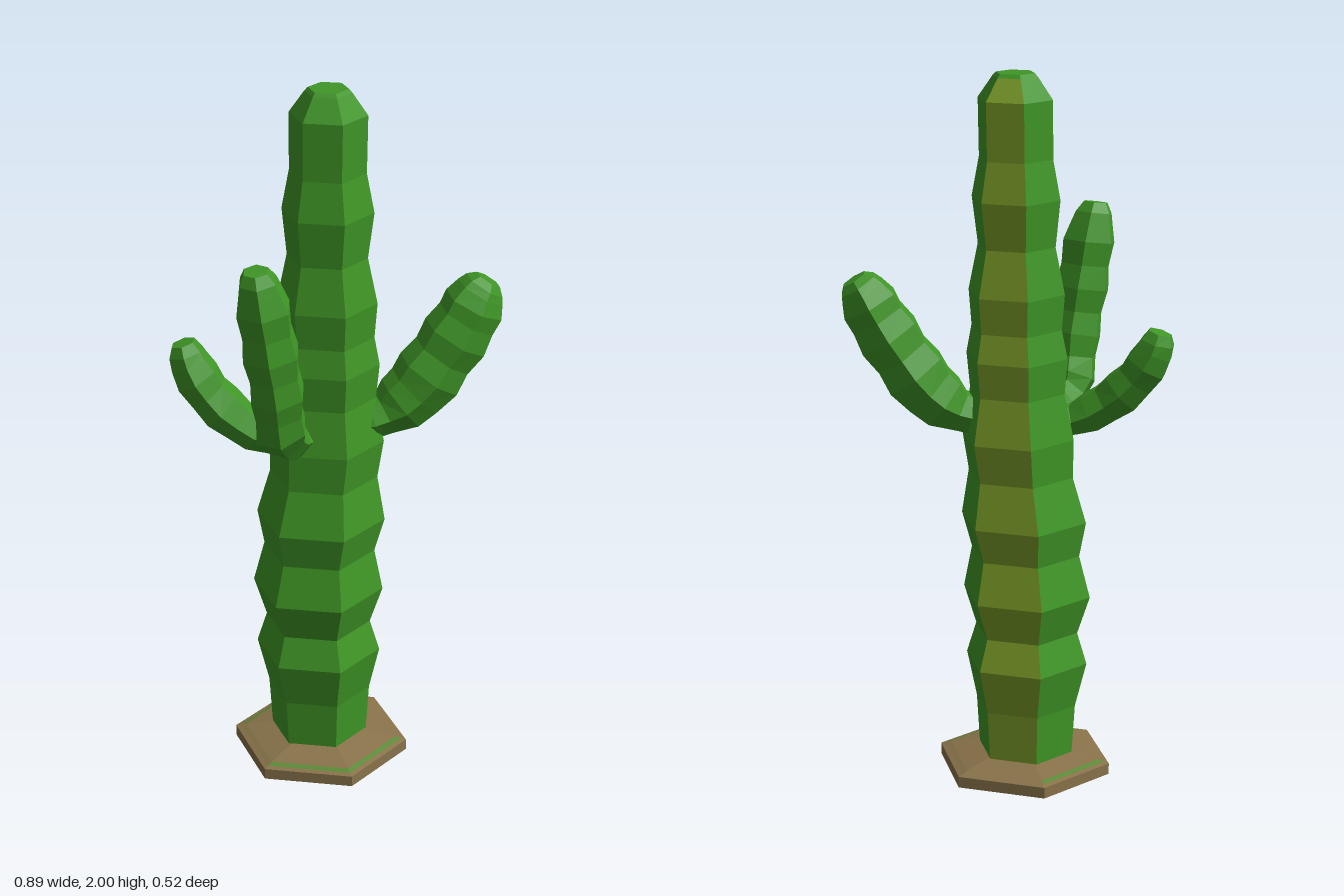
import * as THREE from 'three';

const green = new THREE.MeshStandardMaterial({ color: 0x3f9626 });
green.name = 'cactusGreen';
const olive = new THREE.MeshStandardMaterial({ color: 0x7a9c28 });
olive.name = 'oliveGreen';
const brown = new THREE.MeshStandardMaterial({ color: 0x88724a });
brown.name = 'soilBrown';
const moss = new THREE.MeshStandardMaterial({ color: 0x5a8a36 });
moss.name = 'mossGreen';

const SIDES = 6;

// Faceted skin over hexagonal rings { centre, radius, side, other }.
// pick(ring, sector) chooses the material of each panel; ring -1 is the start cap.
function loft(name, rings, materials, pick = () => 0) {
  const faces = materials.map(() => []);
  const corners = rings.map(({ centre, radius, side, other }) =>
    Array.from({ length: SIDES }, (_, i) => {
      const a = (i / SIDES) * Math.PI * 2;
      return centre.clone()
        .addScaledVector(side, radius * Math.cos(a))
        .addScaledVector(other, radius * Math.sin(a));
    }));
  const last = rings.length - 1;
  for (let s = 0; s < SIDES; s++) {
    const n = (s + 1) % SIDES;
    for (let r = 0; r < last; r++) {
      const a = corners[r][s], b = corners[r][n], c = corners[r + 1][n], d = corners[r + 1][s];
      faces[pick(r, s)].push(a, b, c, a, c, d);
    }
    faces[pick(-1, s)].push(rings[0].centre, corners[0][n], corners[0][s]);
    faces[pick(last, s)].push(rings[last].centre, corners[last][s], corners[last][n]);
  }
  const geometry = new THREE.BufferGeometry().setFromPoints(faces.flat());
  let start = 0;
  faces.forEach((list, i) => {
    geometry.addGroup(start, list.length, i);
    start += list.length;
  });
  geometry.computeVertexNormals();
  const mesh = new THREE.Mesh(geometry, materials);
  mesh.name = name;
  return mesh;
}

// Level ring with corners pointing to the front and back
function levelRing(x, y, z, radius) {
  return {
    centre: new THREE.Vector3(x, y, z), radius,
    side: new THREE.Vector3(0, 0, 1), other: new THREE.Vector3(1, 0, 0),
  };
}

// Curved arm with bulging segments, swept along a path of [x, y, z, radius]
function arm(name, stations, segments) {
  const points = stations.map(([x, y, z]) => new THREE.Vector3(x, y, z));
  const curve = new THREE.CatmullRomCurve3(points);
  const out = points[points.length - 1].clone().sub(points[0]);
  const side = new THREE.Vector3(0, 1, 0).cross(out).normalize();
  const rings = [];
  for (let i = 0; i <= segments; i++) {
    const t = i / segments;
    const k = t * (stations.length - 1);
    const j = Math.min(Math.floor(k), stations.length - 2);
    const radius = THREE.MathUtils.lerp(stations[j][3], stations[j + 1][3], k - j);
    const bulge = i === segments ? 1 : i % 2 ? 1.06 : 0.95;
    const other = curve.getTangent(t).cross(side).normalize();
    rings.push({ centre: curve.getPoint(t), radius: radius * bulge, side, other });
  }
  return loft(name, rings, [green]);
}

export function createModel() {
  const group = new THREE.Group();
  group.name = 'cactus';

  // Soil mound: brown slab, mossy rim strips, green underside
  const soil = [[0, 0.253], [0.032, 0.253], [0.036, 0.238], [0.041, 0.222], [0.062, 0.12]]
    .map(([y, r]) => levelRing(-0.048, y, -0.008, r));
  group.add(loft('soilBase', soil, [brown, moss, green], (r, s) => {
    if (r === -1) return 2;
    return r === 2 && [0, 3, 5].includes(s) ? 1 : 0;
  }));

  // Trunk: ribbed hexagonal column with one olive back panel; [y, x, radius]
  const trunk = [
    [0.04, -0.05, 0.137], [0.2, -0.05, 0.147], [0.33, -0.052, 0.178], [0.42, -0.052, 0.15],
    [0.53, -0.052, 0.186], [0.65, -0.048, 0.158], [0.75, -0.043, 0.182], [0.88, -0.034, 0.152],
    [0.99, -0.026, 0.162], [1.12, -0.024, 0.137], [1.22, -0.023, 0.146], [1.3, -0.022, 0.13],
    [1.4, -0.022, 0.138], [1.53, -0.022, 0.111], [1.66, -0.02, 0.126], [1.77, -0.02, 0.105],
    [1.93, -0.018, 0.106], [1.99, -0.018, 0.064], [2.0, -0.018, 0.055],
  ].map(([y, x, r]) => levelRing(x, y, -0.015, r));
  group.add(loft('trunk', trunk, [green, olive],
    (r, s) => (s === 2 && r >= 0 && r < trunk.length - 2 ? 1 : 0)));

  // Thick arm on the left
  group.add(arm('leftArm', [
    [0.05, 1.04, 0.025, 0.045], [0.13, 1.06, 0.035, 0.065], [0.21, 1.12, 0.05, 0.092],
    [0.285, 1.22, 0.065, 0.092], [0.35, 1.325, 0.077, 0.09], [0.39, 1.4, 0.08, 0.075],
    [0.412, 1.435, 0.082, 0.038],
  ], 12));

  // Tall arm at the front right
  group.add(arm('rightFrontArm', [
    [-0.08, 1.03, 0.02, 0.04], [-0.15, 1.04, 0.07, 0.05], [-0.21, 1.1, 0.135, 0.072],
    [-0.232, 1.23, 0.165, 0.075], [-0.258, 1.38, 0.178, 0.078], [-0.283, 1.53, 0.185, 0.072],
    [-0.296, 1.6, 0.187, 0.036],
  ], 14));

  // Short arm at the back right
  group.add(arm('rightBackArm', [
    [-0.1, 1.02, 0.01, 0.04], [-0.19, 1.025, 0, 0.05], [-0.275, 1.075, -0.035, 0.062],
    [-0.345, 1.15, -0.08, 0.064], [-0.388, 1.235, -0.112, 0.06], [-0.402, 1.29, -0.122, 0.035],
  ], 10));

  return group;
}
